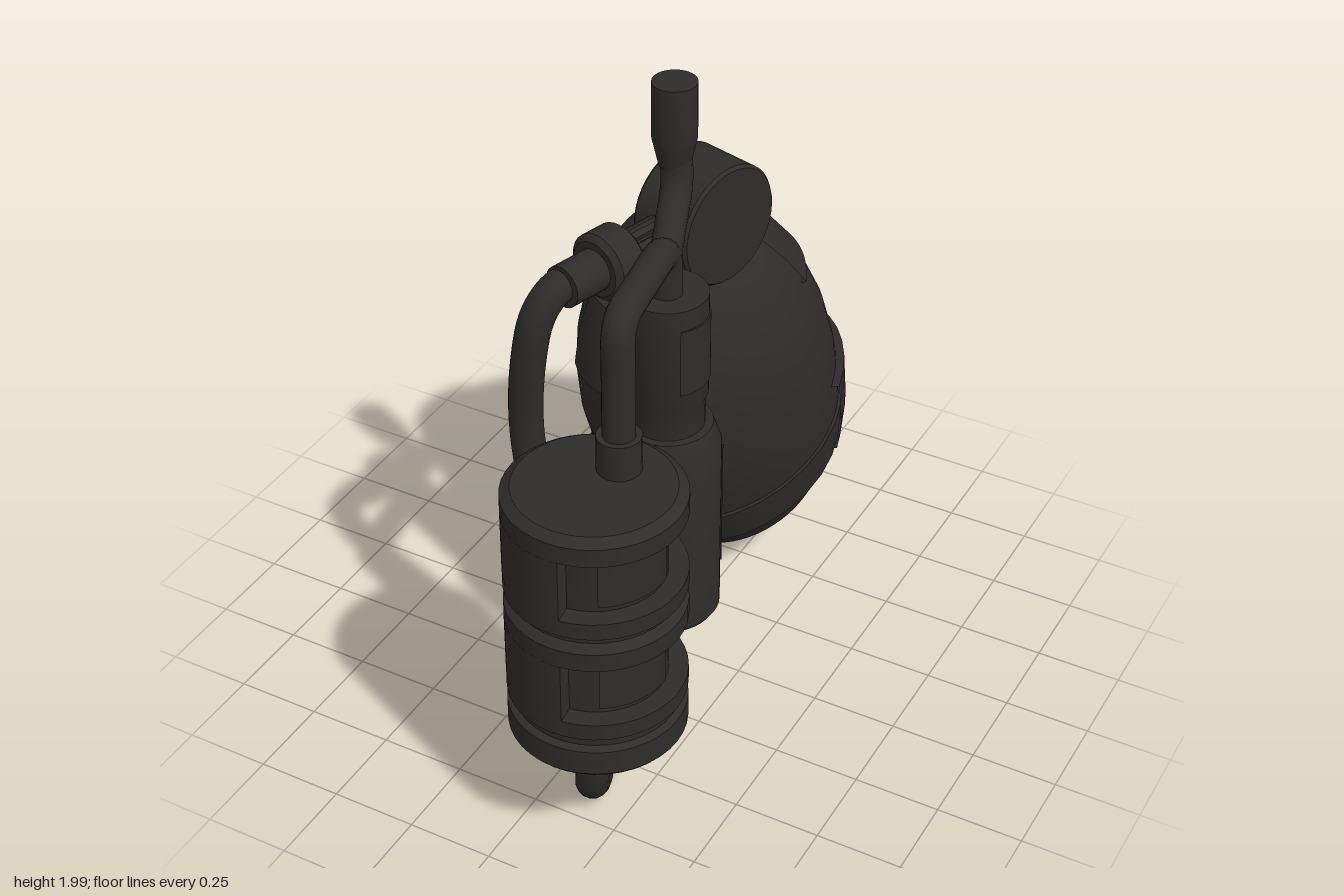
import * as THREE from 'three';
import { toCreasedNormals } from 'three/addons/utils/BufferGeometryUtils.js';

const mat = new THREE.MeshStandardMaterial({ color: 0x2e2d2b, side: THREE.DoubleSide });
const V = (x, y, z) => new THREE.Vector3(x, y, z);

function add(parent, name, geometry, x = 0, y = 0, z = 0) {
  const mesh = new THREE.Mesh(geometry, mat);
  mesh.name = name;
  mesh.position.set(x, y, z);
  parent.add(mesh);
  return mesh;
}

// Profile of [radius, height] pairs, listed from bottom to top
function lathe(points, start = 0, length = Math.PI * 2, segments = 40) {
  const pts = points.map(([r, y]) => new THREE.Vector2(r, y));
  return toCreasedNormals(new THREE.LatheGeometry(pts, segments, start, length), 0.5);
}

function tube(points, radius, segments = 60) {
  return new THREE.TubeGeometry(new THREE.CatmullRomCurve3(points), segments, radius, 16);
}

// Raised strip around a lathe, closed over its thickness
function plate(points, thick, start, length) {
  const inner = points.map(([r, y]) => [r - thick, y]);
  return lathe([inner[0], ...points, ...inner.reverse()], start, length, 28);
}

// Pipe with rounded corners through straight runs
function pipe(points, radius, bend) {
  const path = new THREE.CurvePath();
  let from = points[0];
  for (let i = 1; i < points.length - 1; i++) {
    const p = points[i];
    const a = p.clone().add(points[i - 1].clone().sub(p).setLength(bend));
    const b = p.clone().add(points[i + 1].clone().sub(p).setLength(bend));
    path.add(new THREE.LineCurve3(from, a));
    path.add(new THREE.QuadraticBezierCurve3(a, p, b));
    from = b;
  }
  path.add(new THREE.LineCurve3(from, points[points.length - 1]));
  return new THREE.TubeGeometry(path, 80, radius, 16);
}

// Half wall of the tank, closing the window on one side
function tankWall(height) {
  const s = new THREE.Shape();
  s.absarc(0, 0, 0.243, Math.PI * 0.46, Math.PI * 1.54, false);
  s.absarc(0, 0, 0.18, Math.PI * 1.54, Math.PI * 0.46, true);
  const g = new THREE.ExtrudeGeometry(s, { depth: height, bevelEnabled: false, curveSegments: 24 });
  g.rotateX(-Math.PI / 2);
  return toCreasedNormals(g, 0.5);
}

function frontTank() {
  const g = new THREE.Group();
  g.name = 'frontTank';
  g.position.set(0.178, 0, 0.7);
  add(g, 'tankBody', lathe([
    [0, 0.3], [0.107, 0.3], [0.107, 0.37], [0.235, 0.37], [0.243, 0.38], [0.243, 0.455], [0.225, 0.465],
    [0.225, 0.485], [0.243, 0.5], [0.243, 0.55], [0.19, 0.55], [0.19, 0.735], [0.243, 0.735], [0.243, 0.79],
    [0.22, 0.81], [0.22, 0.82], [0.243, 0.84], [0.243, 0.89], [0.19, 0.89], [0.19, 1.075], [0.243, 1.075],
    [0.243, 1.13], [0.215, 1.15], [0, 1.15],
  ]));
  for (const y of [0.55, 0.89]) {
    add(g, 'tankWall', tankWall(0.185), 0, y, 0);
    // Sunken panels in the open side
    add(g, 'windowPanel', plate([[0.2, 0.02], [0.2, 0.165]], 0.02, 0.55, 1.1), 0, y, 0);
  }
  add(g, 'tankOutlet', lathe([[0.06, 1.15], [0.06, 1.255], [0, 1.255]], 0, Math.PI * 2, 24), 0.022, 0, -0.09);
  return g;
}

function rearCanister() {
  const g = new THREE.Group();
  g.name = 'rearCanister';
  g.position.set(0.14, 0, 0.243);
  add(g, 'canisterBody', lathe([
    [0, 0.415], [0.135, 0.415], [0.148, 0.435], [0.148, 0.98], [0.125, 1.05], [0.102, 1.05],
    [0.102, 1.13], [0.11, 1.15], [0.11, 1.46], [0.06, 1.46], [0, 1.46],
  ]));
  add(g, 'canisterPanel', plate([[0.153, 0.55], [0.153, 0.95]], 0.015, 2.2, 1.3));
  add(g, 'neckPanel', plate([[0.114, 1.2], [0.114, 1.4]], 0.015, 0.8, 1.6));
  return g;
}

// Egg-shaped vessel, in its own upright frame
function vessel() {
  const g = new THREE.Group();
  g.name = 'vessel';
  g.position.set(-0.05, 0.21, -0.616);
  g.rotation.set(0.33, -0.27, 0, 'YXZ');
  g.scale.set(0.8, 1, 1);
  add(g, 'vesselShell', lathe([
    [0, 0.015], [0.245, 0.015], [0.255, 0], [0.268, 0], [0.28, 0.02], [0.35, 0.12], [0.375, 0.2], [0.4, 0.33],
    [0.414, 0.47], [0.412, 0.62], [0.39, 0.75], [0.355, 0.86], [0.31, 0.95], [0.25, 1.04],
    [0.18, 1.11], [0.1, 1.16], [0, 1.18],
  ], 0, Math.PI * 2, 56));
  add(g, 'lowerBand', plate([[0.36, 0.12], [0.392, 0.23], [0.402, 0.27]], 0.03, 0, Math.PI * 2));
  add(g, 'tallBand', plate([[0.368, 0.12], [0.41, 0.25], [0.437, 0.41]], 0.035, 2.1, 4.3));
  add(g, 'backPlate', plate([[0.39, 0.8], [0.345, 0.91], [0.27, 1.04]], 0.03, 2.3, 0.95));
  add(g, 'frontPlate', plate([[0.385, 0.81], [0.335, 0.93], [0.26, 1.05]], 0.03, -0.5, 1));
  return g;
}

// Swivel head with the valve that carries the hose, sharing the vessel's turn
function swivelHead() {
  const g = new THREE.Group();
  g.name = 'swivelHead';
  g.position.set(0.008, 1.415, -0.205);
  g.rotation.y = -0.27;
  const drum = lathe([[0, -0.1], [0.17, -0.1], [0.178, -0.09], [0.178, 0.09], [0.17, 0.1], [0, 0.1]]);
  add(g, 'drum', drum.rotateZ(Math.PI / 2));
  const valve = lathe([
    [0, 0.14], [0.042, 0.14], [0.042, 0.31], [0.08, 0.31], [0.097, 0.325], [0.097, 0.405], [0.08, 0.42],
    [0.06, 0.42], [0.06, 0.54], [0, 0.54],
  ], 0, Math.PI * 2, 28);
  add(g, 'valve', valve.rotateX(Math.PI / 2), 0, 0.01, 0);
  // Ribs round the valve neck
  for (let i = 0; i < 10; i++) {
    const a = (i / 10) * Math.PI * 2;
    const rib = add(g, 'valveRib', new THREE.BoxGeometry(0.02, 0.02, 0.13), Math.cos(a) * 0.046, Math.sin(a) * 0.046 + 0.01, 0.24);
    rib.rotation.z = a;
  }
  // Fins that hold the vessel below the drum
  for (const a of [-0.65, -0.25, 0.15, 0.5]) {
    const fin = add(g, 'fin', new THREE.BoxGeometry(0.12, 0.17, 0.045), -0.05, -Math.cos(a) * 0.19, Math.sin(a) * 0.19);
    fin.rotation.x = -a;
  }
  add(g, 'saddle', new THREE.BoxGeometry(0.13, 0.24, 0.16), -0.06, -0.2, -0.02);
  return g;
}

export function createModel() {
  const model = new THREE.Group();
  model.name = 'twinTankApparatus';
  model.add(frontTank(), rearCanister(), vessel(), swivelHead());

  // Rigid pipe from the tank over to the canister
  add(model, 'bridgePipe', pipe([V(0.2, 1.2, 0.61), V(0.2, 1.6, 0.61), V(0.14, 1.6, 0.25), V(0.14, 1.44, 0.25)], 0.044, 0.07));

  // Branch pipe rising to the end fitting
  add(model, 'risingPipe', pipe([V(0.14, 1.56, 0.26), V(0.1, 1.71, 0.115), V(0.09, 1.85, 0.115)], 0.042, 0.05));
  add(model, 'endFitting', lathe([[0.042, 1.76], [0.058, 1.83], [0.06, 1.84], [0.06, 2], [0, 2]], 0, Math.PI * 2, 24), 0.09, 0, 0.115);

  // Flexible hose from under the tank up to the valve
  add(model, 'hose', tube([
    V(0.18, 0.33, 0.7), V(0.175, 0.2, 0.725), V(0.15, 0.1, 0.69), V(0.115, 0.06, 0.61), V(0.06, 0.11, 0.53), V(0, 0.23, 0.465),
    V(-0.12, 0.52, 0.39), V(-0.2, 0.8, 0.375), V(-0.22, 1, 0.38), V(-0.2, 1.22, 0.39),
    V(-0.175, 1.36, 0.375), V(-0.15, 1.42, 0.33), V(-0.125, 1.425, 0.25),
  ], 0.048, 110));
  return model;
}
